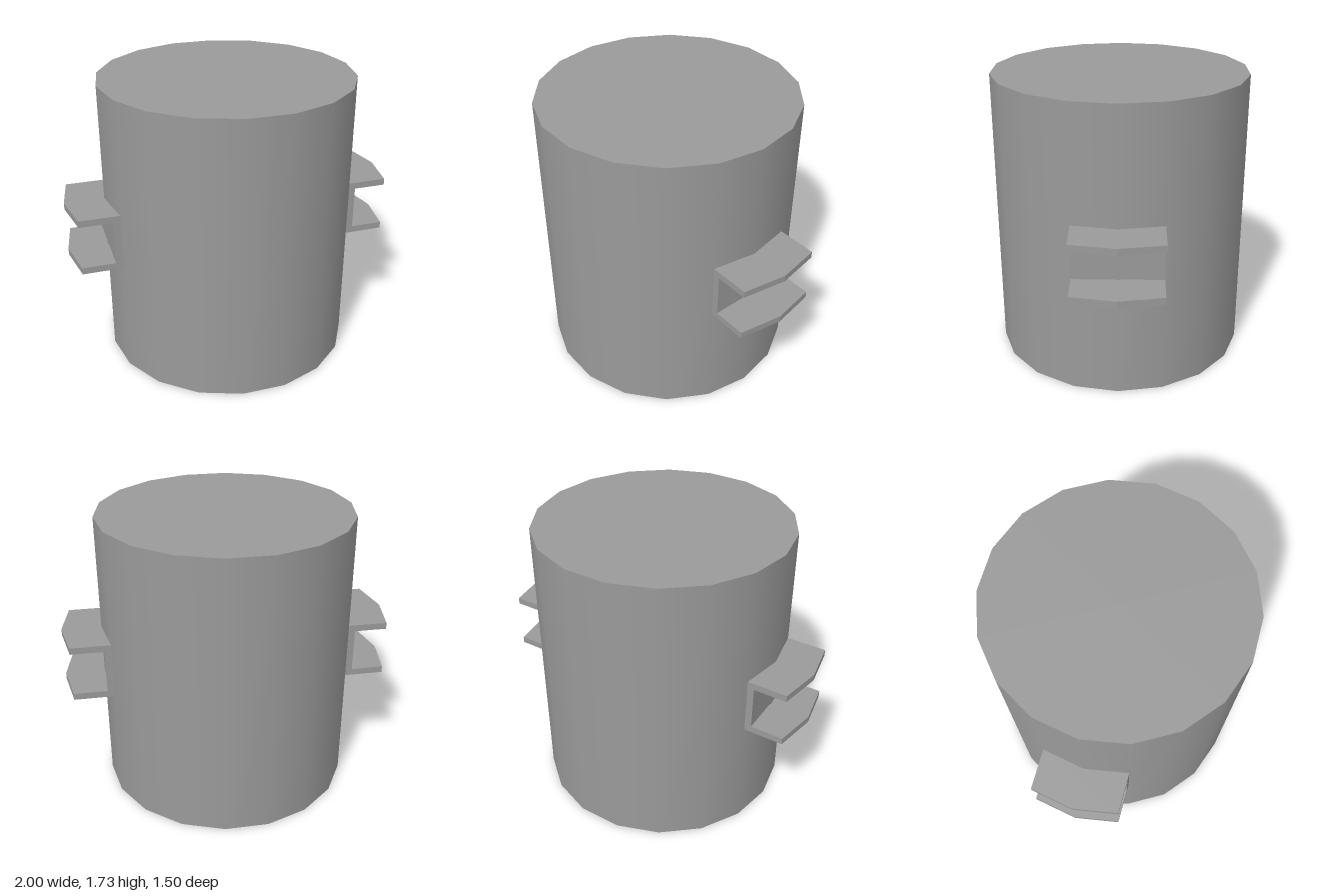
import * as THREE from 'three';

const material = new THREE.MeshStandardMaterial({ color: 0x9a9a9a });
const RADIUS = 0.762, HEIGHT = 1.73, SIDES = 18;
const BOTTOM = 0.695, TOP = 1.04, THICK = 0.04;
const INNER = 0.714, HALF_WIDTH = 0.26;

function addMesh(parent, name, geometry, x, y) {
  const mesh = new THREE.Mesh(geometry, material);
  mesh.name = name;
  mesh.position.set(x, y, 0);
  parent.add(mesh);
}

// Channel bracket: upright web with two pointed flanges, facing +x
function createBracket(name) {
  const bracket = new THREE.Group();
  bracket.name = name;
  const web = 0.043;
  addMesh(bracket, 'web', new THREE.BoxGeometry(web, TOP - BOTTOM - 2 * THICK, 2 * HALF_WIDTH),
    INNER + web / 2, (BOTTOM + TOP) / 2);

  const outline = new THREE.Shape([
    [INNER, -HALF_WIDTH], [0.955, -HALF_WIDTH], [1, 0], [0.955, HALF_WIDTH], [INNER, HALF_WIDTH],
  ].map(([x, z]) => new THREE.Vector2(x, z)));
  const flange = new THREE.ExtrudeGeometry(outline, { depth: THICK, bevelEnabled: false });
  flange.rotateX(-Math.PI / 2);
  addMesh(bracket, 'lowerFlange', flange, 0, BOTTOM);
  addMesh(bracket, 'upperFlange', flange, 0, TOP - THICK);
  return bracket;
}

export function createModel() {
  const model = new THREE.Group();
  model.name = 'bracketedDrum';

  // Solid drum, turned so a corner points to each side
  const drum = new THREE.CylinderGeometry(RADIUS, RADIUS, HEIGHT, SIDES, 1, false, Math.PI / SIDES);
  addMesh(model, 'drum', drum, 0, HEIGHT / 2);

  // One bracket on each side
  const left = createBracket('leftBracket');
  const right = createBracket('rightBracket');
  right.rotation.y = Math.PI;
  model.add(left, right);
  return model;
}
